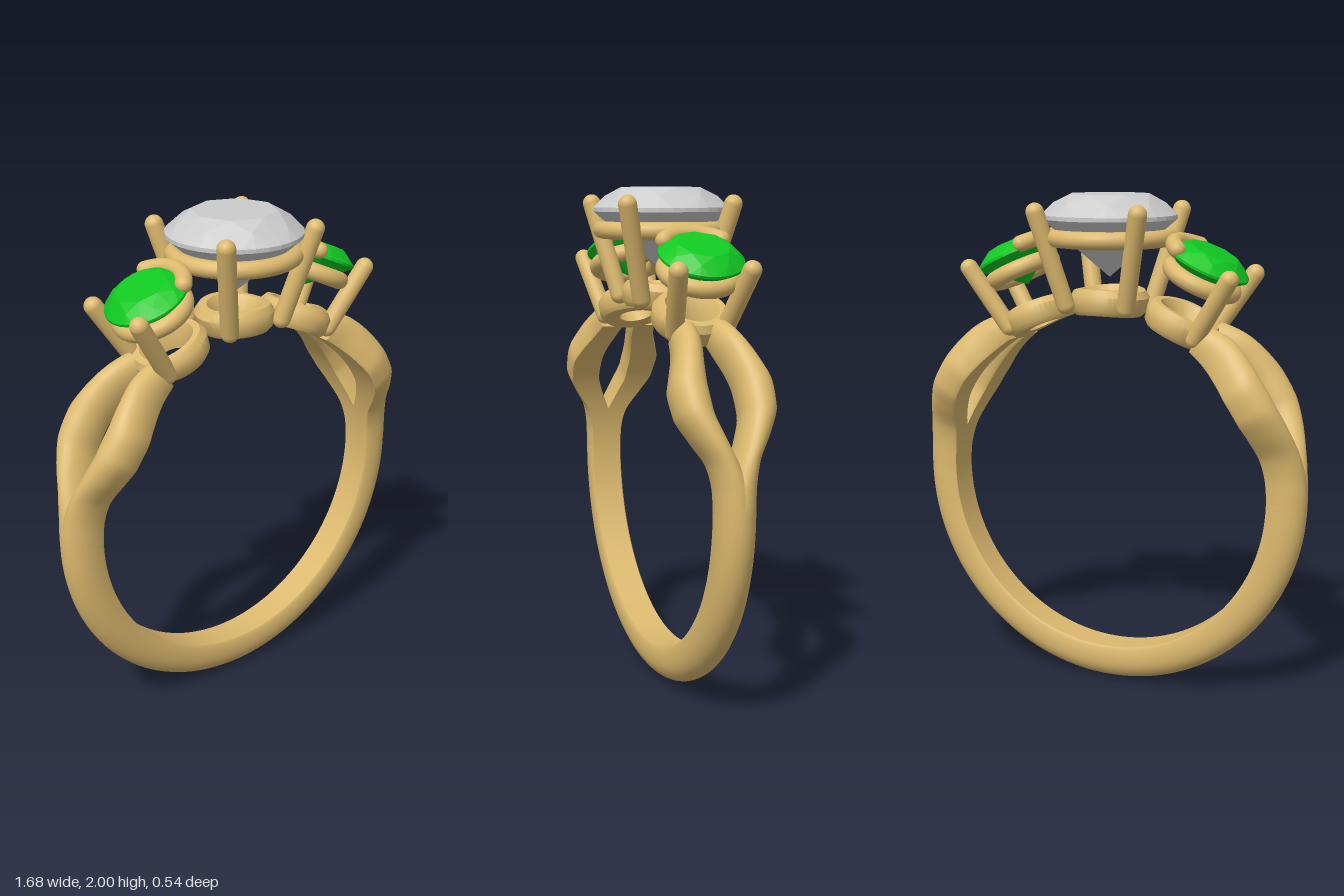
import * as THREE from 'three';
import { toCreasedNormals } from 'three/addons/utils/BufferGeometryUtils.js';
import { ConvexGeometry } from 'three/addons/geometries/ConvexGeometry.js';

const gold = new THREE.MeshStandardMaterial({ color: 0xdcb96e });
const clear = new THREE.MeshStandardMaterial({ color: 0xcccccc });
const green = new THREE.MeshStandardMaterial({ color: 0x10c822 });

const CY = 0.84;      // height of the band's centre
const INNER = 0.695;  // finger hole radius
const V = (x, y, z) => new THREE.Vector3(x, y, z);

function add(parent, name, geometry, material = gold) {
  const mesh = new THREE.Mesh(geometry, material);
  mesh.name = name;
  parent.add(mesh);
  return mesh;
}

// Domed cross-section between z0 and z1, flat on the finger side
function section(phi, z0, z1, outer) {
  const mid = (z0 + z1) / 2, half = (z1 - z0) / 2;
  const height = outer - INNER, wall = height * 0.42;
  const pts = [[-half * 0.9, 0], [-half, height * 0.08]];
  for (let i = 0; i <= 14; i++) {
    const a = Math.PI * (1 - i / 14);
    pts.push([half * Math.cos(a), wall + (height - wall) * Math.sin(a)]);
  }
  pts.push([half, height * 0.08], [half * 0.9, 0]);
  return pts.map(([z, h]) => {
    const r = INNER + h;
    return V(r * Math.cos(phi), CY + r * Math.sin(phi), mid + z);
  });
}

// Skin a row of closed cross-sections and cap both ends
function loft(rows) {
  const n = rows[0].length, last = rows.length - 1, index = [];
  for (let i = 0; i < last; i++) {
    for (let j = 0; j < n; j++) {
      const k = (j + 1) % n;
      const a = i * n + j, b = a + n, c = (i + 1) * n + k, d = i * n + k;
      index.push(a, b, c, a, c, d);
    }
  }
  for (let j = 1; j < n - 1; j++) {
    index.push(0, j, j + 1);
    index.push(last * n, last * n + j + 1, last * n + j);
  }
  const g = new THREE.BufferGeometry().setFromPoints(rows.flat());
  g.setIndex(index);
  return toCreasedNormals(g, 0.7);
}

// Split shoulder strand: inner edge, outer edge, outer radius every 7 degrees
const strandPath = new THREE.CatmullRomCurve3([
  [-0.07, 0.07, 0.84], [-0.05, 0.073, 0.84], [-0.008, 0.092, 0.84],
  [0.03, 0.145, 0.84], [0.058, 0.19, 0.84], [0.06, 0.197, 0.84],
  [0.05, 0.172, 0.84], [0.032, 0.14, 0.835], [0.02, 0.12, 0.81],
].map((p) => V(...p)));

function strand(side) {
  const rows = [];
  for (let i = 0; i <= 48; i++) {
    const t = i / 48, p = strandPath.getPoint(t);
    const edges = side > 0 ? [p.x, p.y] : [-p.y, -p.x];
    rows.push(section(THREE.MathUtils.degToRad(56 * t), ...edges, p.z));
  }
  return loft(rows);
}

// Brilliant-cut stone: table, star points, girdle, pavilion, culet
function gem(radius, girdle, top, culet) {
  const pts = [V(0, culet, 0)];
  const ring = (n, r, y, turn = 0) => {
    for (let i = 0; i < n; i++) {
      const a = ((i + turn) / n) * Math.PI * 2;
      pts.push(V(r * Math.sin(a), y, r * Math.cos(a)));
    }
  };
  const rise = top - girdle;
  ring(8, radius * 0.62, top);
  ring(8, radius * 0.83, girdle + rise * 0.62, 0.5);
  ring(32, radius, girdle + rise * 0.12);
  ring(32, radius, girdle - rise * 0.06);
  ring(8, radius * 0.3, culet + (girdle - culet) * 0.31, 0.5);
  return new ConvexGeometry(pts);
}

// Rounded bar between two points
function bar(a, b, r) {
  const g = new THREE.CapsuleGeometry(r, a.distanceTo(b), 8, 20);
  const q = new THREE.Quaternion().setFromUnitVectors(V(0, 1, 0), b.clone().sub(a).normalize());
  const mid = a.clone().add(b).multiplyScalar(0.5);
  return g.applyQuaternion(q).translate(mid.x, mid.y, mid.z);
}

// Open collar under a stone, bent to follow the finger hole
function collar(radius) {
  const profile = [
    [0.07, 0], [radius - 0.015, 0], [radius, 0.02], [radius, 0.075],
    [radius - 0.02, 0.1], [0.105, 0.1], [0.08, 0.06], [0.07, 0],
  ].map((p) => new THREE.Vector2(...p));
  const g = new THREE.LatheGeometry(profile, 48);
  const pos = g.attributes.position;
  for (let i = 0; i < pos.count; i++) {
    const a = pos.getX(i) / 0.745, r = INNER + pos.getY(i);
    pos.setXY(i, r * Math.sin(a), r * Math.cos(a));
  }
  return toCreasedNormals(g, 0.7);
}

function seat(radius, tube, y) {
  return new THREE.TorusGeometry(radius, tube, 16, 64).rotateX(Math.PI / 2).translate(0, y, 0);
}

// A head lives in a frame centred on the finger hole, its stone along +y
function head(parent, name, tilt) {
  const g = new THREE.Group();
  g.name = name;
  g.position.y = CY;
  g.rotation.z = -tilt;
  parent.add(g);
  return g;
}

export function createModel() {
  const model = new THREE.Group();
  model.name = 'threeStoneRing';

  // Lower half of the band
  const rows = [];
  for (let i = 0; i <= 96; i++) rows.push(section(Math.PI * (1 + i / 96), -0.07, 0.07, CY));
  add(model, 'band', loft(rows));

  // Centre stone with four prongs
  const centre = head(model, 'centreSetting', 0);
  add(centre, 'centreStone', gem(0.268, 1.07, 1.16, 0.835), clear);
  add(centre, 'centreSeat', seat(0.235, 0.034, 0.993));
  add(centre, 'centreCollar', collar(0.155));
  for (const sx of [-1, 1]) {
    for (const sz of [-1, 1]) {
      add(centre, 'centreProng',
        bar(V(sx * 0.13, 0.73, sz * 0.13), V(sx * 0.217, 1.095, sz * 0.217), 0.036));
    }
  }

  // Each shoulder: two strands and a tilted side stone; the second is a half turn
  for (const turn of [0, Math.PI]) {
    const shoulder = new THREE.Group();
    shoulder.name = turn ? 'rightShoulder' : 'leftShoulder';
    shoulder.rotation.y = turn;
    model.add(shoulder);
    for (const s of [-1, 1]) add(shoulder, 'splitStrand', strand(s));

    const side = head(shoulder, 'sideSetting', THREE.MathUtils.degToRad(25));
    add(side, 'sideStone', gem(0.165, 0.995, 1.05, 0.87), green);
    add(side, 'sideSeat', seat(0.128, 0.035, 0.93));
    add(side, 'sideCollar', collar(0.15));
    for (const s of [-1, 1]) {
      add(side, 'sideProng', bar(V(0.102, 0.735, s * 0.1), V(0.142, 1.015, s * 0.145), 0.036));
    }

    // Curved claw along the edge nearest the centre stone
    const arc = [];
    for (let i = -4; i <= 4; i++) {
      const a = (i / 4) * 0.85;
      arc.push(V(-0.155 * Math.cos(a), 1.015, 0.155 * Math.sin(a)));
    }
    add(side, 'curvedClaw', new THREE.TubeGeometry(new THREE.CatmullRomCurve3(arc), 32, 0.033, 14));
    for (const end of [arc[0], arc[8]]) {
      add(side, 'clawTip', new THREE.SphereGeometry(0.033, 16, 12)).position.copy(end);
    }
  }
  return model;
}
